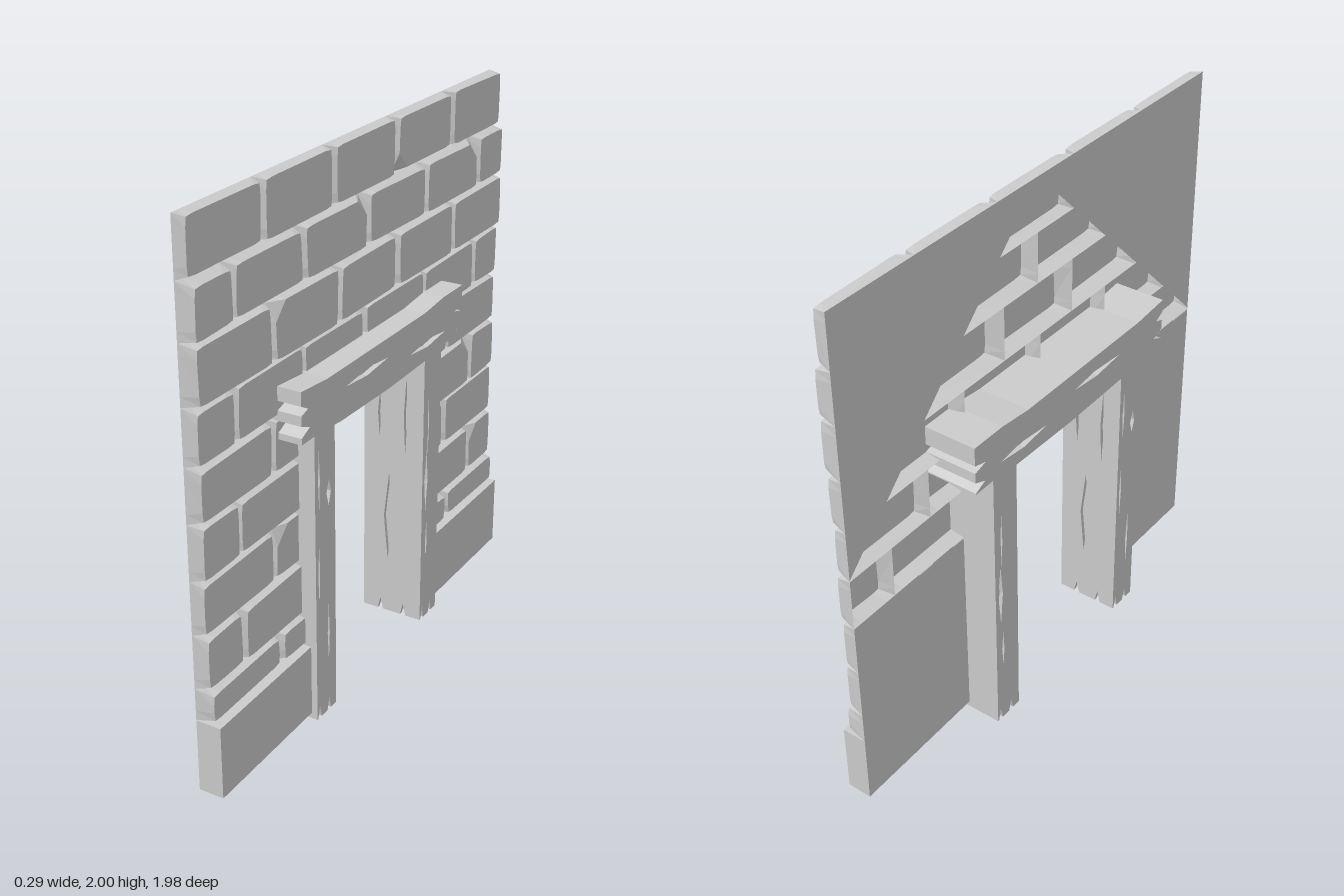
import * as THREE from 'three';

const mat = new THREE.MeshStandardMaterial({ color: 0xcccccc, flatShading: true });
const openMat = new THREE.MeshStandardMaterial({ color: 0xcccccc, flatShading: true, side: THREE.DoubleSide });

let seed = 7;
const rnd = () => (seed = (seed * 16807) % 2147483647) / 2147483647;

function add(parent, geo, name, x = 0, y = 0, z = 0, ry = 0, material = mat) {
  const m = new THREE.Mesh(geo, material);
  m.name = name;
  m.position.set(x, y, z);
  m.rotation.y = ry;
  parent.add(m);
}

const toShape = pts => new THREE.Shape(pts.map(p => new THREE.Vector2(...p)));

// Flat slab with diamond-shaped cracks [cx, cy, halfWidth, halfHeight] cut through it
function slab(pts, depth, cracks = []) {
  const s = toShape(pts);
  for (const [x, y, w, h] of cracks) {
    s.holes.push(new THREE.Path([[x - w, y], [x, y - h], [x + w, y], [x + w * 0.15, y + h]]
      .map(p => new THREE.Vector2(...p))));
  }
  return new THREE.ExtrudeGeometry(s, { depth, bevelEnabled: false });
}

// Open-backed brick: tapers towards the front with softened corners;
// any corner (0 BL, 1 BR, 2 TR, 3 TL) may be chipped
function brickGeometry(u0, u1, y0, y1, d, chip) {
  const gap = u => (Math.abs(u) > 0.98 ? 0.003 + rnd() * 0.006 : 0.008 + rnd() * 0.013);
  const gy = () => 0.007 + rnd() * 0.009;
  const top = () => (y1 > 1.99 ? rnd() * 0.006 : gy());
  const outer = [[u0, y0], [u1, y0], [u1, y1], [u0, y1]];
  const inner = [[u0 + gap(u0), y0 + gy()], [u1 - gap(u1), y0 + gy()],
    [u1 - gap(u1), y1 - top()], [u0 + gap(u0), y1 - top()]];
  const toward = (a, b, r) => {
    const l = Math.hypot(b[0] - a[0], b[1] - a[1]);
    return [a[0] + (b[0] - a[0]) * r / l, a[1] + (b[1] - a[1]) * r / l];
  };
  const back = [], front = [], face = [], pos = [];
  for (let k = 0; k < 4; k++) {
    const r = k === chip ? 0.06 : 0.035, p = (k + 3) % 4, n = (k + 1) % 4;
    back.push([...toward(outer[k], outer[p], r), 0], [...outer[k], 0], [...toward(outer[k], outer[n], r), 0]);
    const a = [...toward(inner[k], inner[p], r), d], b = [...toward(inner[k], inner[n], r), d];
    // Unchipped corners are pulled in a little to round the outline
    const c = k === chip ? [...inner[k], d * 0.45]
      : [0, 1].map(i => inner[k][i] * 0.8 + (a[i] + b[i]) * 0.1).concat(d);
    front.push(a, c, b);
    face.push(a, b);
    pos.push(...a, ...c, ...b);
  }
  for (let i = 0; i < 12; i++) {
    const j = (i + 1) % 12;
    pos.push(...back[i], ...back[j], ...front[j], ...back[i], ...front[j], ...front[i]);
  }
  const mid = [(u0 + u1) / 2, (y0 + y1) / 2, d];
  face.forEach((p, i) => pos.push(...mid, ...p, ...face[(i + 1) % 8]));
  const g = new THREE.BufferGeometry();
  g.setAttribute('position', new THREE.Float32BufferAttribute(pos, 3));
  g.computeVertexNormals();
  return g;
}

// Timber post: core wrapped in cracked skins, with notched feet
function post(name, w, h, d, faceCracks, innerCracks, innerSide) {
  const g = new THREE.Group(), t = 0.015;
  g.name = name;
  const outline = (W, notches) => {
    const pts = [[-W / 2, 0]];
    for (const x of notches) pts.push([x - 0.012, 0], [x, 0.05], [x + 0.012, 0]);
    return [...pts, [W / 2, 0], [W / 2, h], [-W / 2, h]];
  };
  const broad = slab(outline(w, [-0.046, 0.016]), t, faceCracks);
  add(g, broad, 'frontSkin', 0, 0, d / 2 - t);
  add(g, broad, 'backSkin', 0, 0, -d / 2 + t, Math.PI);
  for (const s of [-1, 1]) {
    const inner = s === innerSide;
    const skin = slab(outline(d - 2 * t, inner ? [-0.05, 0.05] : []), t, inner ? innerCracks : []);
    add(g, skin, inner ? 'innerSkin' : 'outerSkin', s * (w / 2 - t), 0, 0, s * Math.PI / 2);
  }
  add(g, new THREE.BoxGeometry(w - 2 * t, h - 0.015, d - 2 * t), 'core', 0, h / 2 + 0.0075, 0);
  return g;
}

export function createModel() {
  const model = new THREE.Group();
  model.name = 'brickDoorway';
  // Built facing +z, then turned so the brick face looks along +x
  const wall = new THREE.Group();
  wall.name = 'doorwayWall';
  wall.rotation.y = Math.PI / 2;
  model.add(wall);

  // Brick courses: bottom, top, depth, joints, chips {brick: corner}
  const E = 0.99, L = -0.40, R = 0.385;
  const even = [[-E, -0.59, L], [R, 0.595, E]], odd = [[-E, -0.785, L], [R, 0.79, E]];
  const courses = [
    [0.30, 0.42, 0.071, even, {}],
    [0.42, 0.62, 0.059, odd, { 3: 3 }],
    [0.62, 0.815, 0.048, even, { 1: 3 }],
    [0.815, 1.015, 0.055, odd, { 2: 2 }],
    [1.015, 1.21, 0.055, even, { 2: 2 }],
    [1.21, 1.405, 0.056, [[-E, -0.785, -0.40, -0.015, 0.40, 0.795, E]], {}],
    [1.405, 1.61, 0.067, [[-E, -0.59, -0.197, 0.185, 0.595, E]], { 1: 3 }],
    [1.61, 1.80, 0.061, [[-E, -0.785, -0.40, 0, 0.40, 0.795, E]], { 2: 2, 4: 2 }],
    [1.80, 2.0, 0.046, [[-E, -0.595, -0.197, 0.21, 0.605, E]], { 3: 0 }],
  ];
  const bricks = new THREE.Group();
  bricks.name = 'bricks';
  wall.add(bricks);
  for (const [y0, y1, d, runs, chips] of courses) {
    let n = 0;
    for (const run of runs) {
      for (let i = 0; i + 1 < run.length; i++, n++) {
        const geo = brickGeometry(run[i], run[i + 1], y0, y1, d + (rnd() - 0.5) * 0.006, chips[n]);
        add(bricks, geo, 'brick', 0, 0, 0, 0, openMat);
      }
    }
  }

  // Plain footing blocks either side of the door
  for (const [a, b] of [[-E, -0.42], [0.41, E]]) {
    add(wall, new THREE.BoxGeometry(b - a, 0.275, 0.094), 'footing', (a + b) / 2, 0.1605, 0.047);
  }

  // Partial back sheet: two lower panels and two upper corner triangles
  const sheets = [
    [[-E, 0.025], [L, 0.025], [L, 1.01], [-E, 1.01]],
    [[R, 0.025], [E, 0.025], [E, 0.81], [R, 0.81]],
    [[0, 2], [-E, 2], [-E, 1.02]],
    [[0, 2], [E, 1.02], [E, 2]],
  ];
  for (const pts of sheets) add(wall, new THREE.ShapeGeometry(toShape(pts)), 'backSheet', 0, 0, 0, 0, openMat);

  // Door posts
  const innerCracks = [[-0.02, 0.42, 0.018, 0.19], [0.05, 0.86, 0.008, 0.16], [-0.06, 0.85, 0.007, 0.1]];
  const left = post('leftPost', 0.126, 1.14, 0.25,
    [[-0.038, 0.94, 0.006, 0.11], [0.022, 0.87, 0.014, 0.05], [-0.042, 0.58, 0.006, 0.12], [0.016, 0.32, 0.007, 0.12]],
    innerCracks, 1);
  left.position.set(-0.383, 0, -0.008);
  const right = post('rightPost', 0.126, 1.14, 0.25,
    [[-0.025, 0.84, 0.005, 0.13], [-0.035, 0.6, 0.013, 0.13], [-0.025, 0.34, 0.007, 0.08]],
    innerCracks, -1);
  right.position.set(0.367, 0, -0.008);
  wall.add(left, right);

  // Lintel with split ends and cracked faces
  const profile = [
    [-0.56, 1.135], [-0.45, 1.135], [-0.32, 1.122], [0, 1.115], [0.31, 1.122], [0.42, 1.135], [0.535, 1.135],
    [0.535, 1.14], [0.485, 1.162], [0.535, 1.182], [0.535, 1.22], [0.48, 1.235], [0.535, 1.25],
    [0.535, 1.32], [0.39, 1.32], [0.25, 1.306], [-0.4, 1.306], [-0.56, 1.32],
    [-0.56, 1.27], [-0.52, 1.248], [-0.56, 1.236], [-0.56, 1.2], [-0.51, 1.18], [-0.56, 1.158],
  ];
  const cracks = [[-0.15, 1.234, 0.14, 0.013], [0.275, 1.184, 0.13, 0.014]];
  const lintel = new THREE.Group();
  lintel.name = 'lintel';
  const skin = slab(profile, 0.02, cracks);
  add(lintel, skin, 'frontSkin', 0, 0, 0.122);
  add(lintel, slab(profile, 0.246), 'core', 0, 0, -0.124);
  add(lintel, skin, 'backSkin', 0, 0, -0.144);
  wall.add(lintel);

  return model;
}
